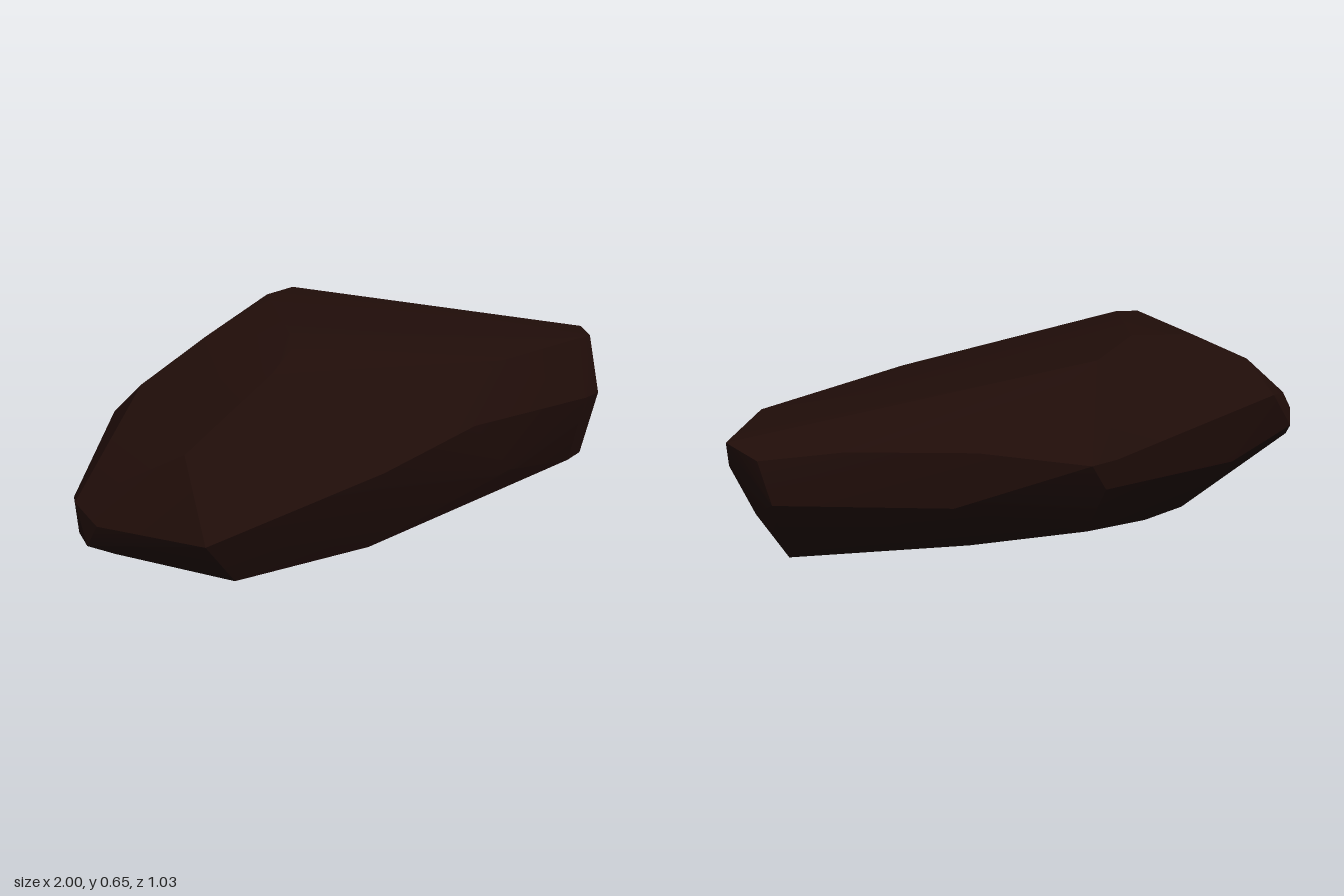
import * as THREE from 'three';
import { ConvexGeometry } from 'three/addons/geometries/ConvexGeometry.js';
import { toCreasedNormals } from 'three/addons/utils/BufferGeometryUtils.js';

// Corner points [x, y, z] of the faceted stone, grouped by region
const crown = [
  [-0.48, 0.6, 0.35], [-0.34, 0.63, 0.23], [-0.32, 0.64, 0.16], [-0.19, 0.65, -0.22], [-0.02, 0.62, -0.36],
  [-0.77, 0.45, 0.41], [-0.7, 0.495, -0.04], [-0.48, 0.6, -0.06],
];
const frontShoulder = [[0.33, 0.49, 0.32], [0.4, 0.505, 0.24], [0.87, 0.435, 0.13]];
const frontEdge = [
  [-0.77, 0.23, 0.515], [-0.22, 0.31, 0.51], [0.15, 0.35, 0.435], [0.75, 0.27, 0.26], [0.86, 0.25, 0.2],
];
const rightTip = [
  [1, 0.4, -0.06], [0.99, 0.31, 0], [0.93, 0.37, -0.17],
  [0.93, 0.17, -0.05], [0.84, 0.015, 0.15], [0.84, 0.015, -0.04], [0.9, 0.24, -0.19],
];
const back = [
  [0.7, 0.4, -0.27], [0.36, 0.4, -0.41], [0.06, 0.36, -0.52], [-0.03, 0.36, -0.49],
  [0.15, 0.33, -0.48], [0, 0.27, -0.48], [0.42, 0.23, -0.37], [0, 0.09, -0.34],
  [-0.44, 0.35, -0.28], [-0.57, 0.2, -0.2], [-0.75, 0.39, -0.14],
];
const leftEnd = [
  [-1, 0.29, 0.2], [-0.98, 0.16, 0.21], [-0.97, 0.24, 0.27], [-0.97, 0.26, 0.1],
  [-0.97, 0.16, 0.12], [-0.91, 0.23, 0], [-0.9, 0.11, 0.2],
];
const base = [
  [-0.2, 0.03, 0.4], [-0.65, 0.06, 0.43], [0.36, 0.13, 0.35], [0.75, 0.02, 0.19],
  [-0.57, 0.015, 0.2], [-0.47, 0.005, -0.05], [-0.3, 0.006, -0.12], [0.2, 0, -0.06], [0.3, 0.005, -0.12],
];

export function createModel() {
  const group = new THREE.Group();
  group.name = 'rock';
  const points = [crown, frontShoulder, frontEdge, rightTip, back, leftEnd, base].flat()
    .map((p) => new THREE.Vector3(...p));

  // Hull of the corners, with shallow breaks softened and strong edges kept
  const geometry = toCreasedNormals(new ConvexGeometry(points), THREE.MathUtils.degToRad(22));
  const stone = new THREE.Mesh(geometry, new THREE.MeshStandardMaterial({ color: 0x200d09 }));
  stone.name = 'stone';
  group.add(stone);
  return group;
}
